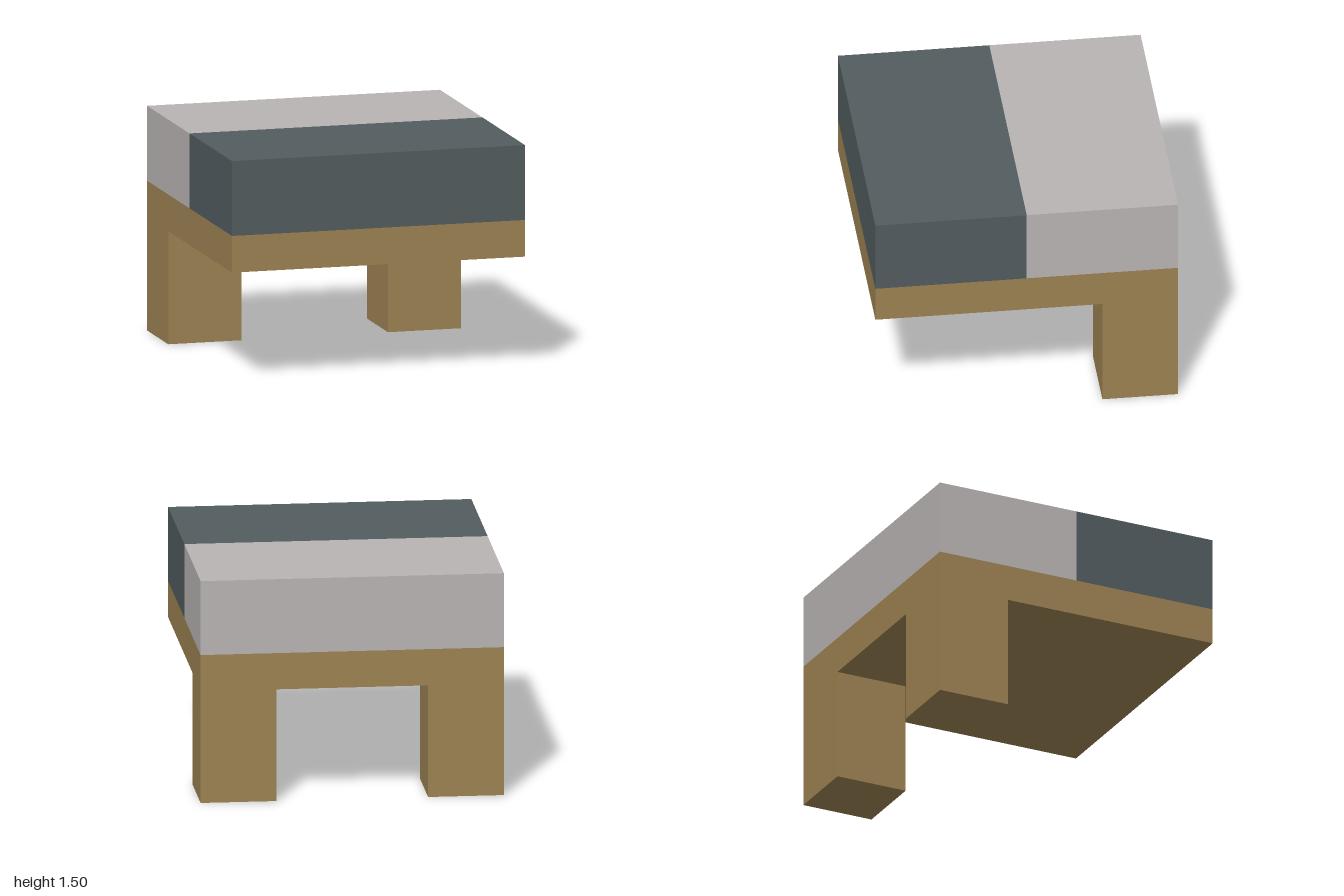
import * as THREE from 'three';

const material = (name, color) => {
  const m = new THREE.MeshStandardMaterial({ color });
  m.name = name;
  return m;
};

export function createModel() {
  const wood = material('wood', 0x9d8252);
  const slate = material('slate blanket', 0x525c5f);
  const linen = material('pale linen', 0xb8b4b3);

  const model = new THREE.Group();
  model.name = 'bedEnd';

  // Box given by its lower and upper corners
  const box = (name, mat, [x0, y0, z0], [x1, y1, z1]) => {
    const mesh = new THREE.Mesh(new THREE.BoxGeometry(x1 - x0, y1 - y0, z1 - z0), mat);
    mesh.position.set((x0 + x1) / 2, (y0 + y1) / 2, (z0 + z1) / 2);
    mesh.name = name;
    model.add(mesh);
  };

  // Mattress halves: blanket in front, linen behind
  box('blanket', slate, [-1, 1, 0], [1, 1.5, 1]);
  box('mattress', linen, [-1, 1, -1], [1, 1.5, 0]);

  // Wooden base
  box('frame', wood, [-1, 0.755, -1], [1, 1, 1]);

  // Two legs at the back corners
  box('rightLeg', wood, [-1, 0, -1], [-0.5, 0.755, -0.5]);
  box('leftLeg', wood, [0.5, 0, -1], [1, 0.755, -0.5]);

  return model;
}
